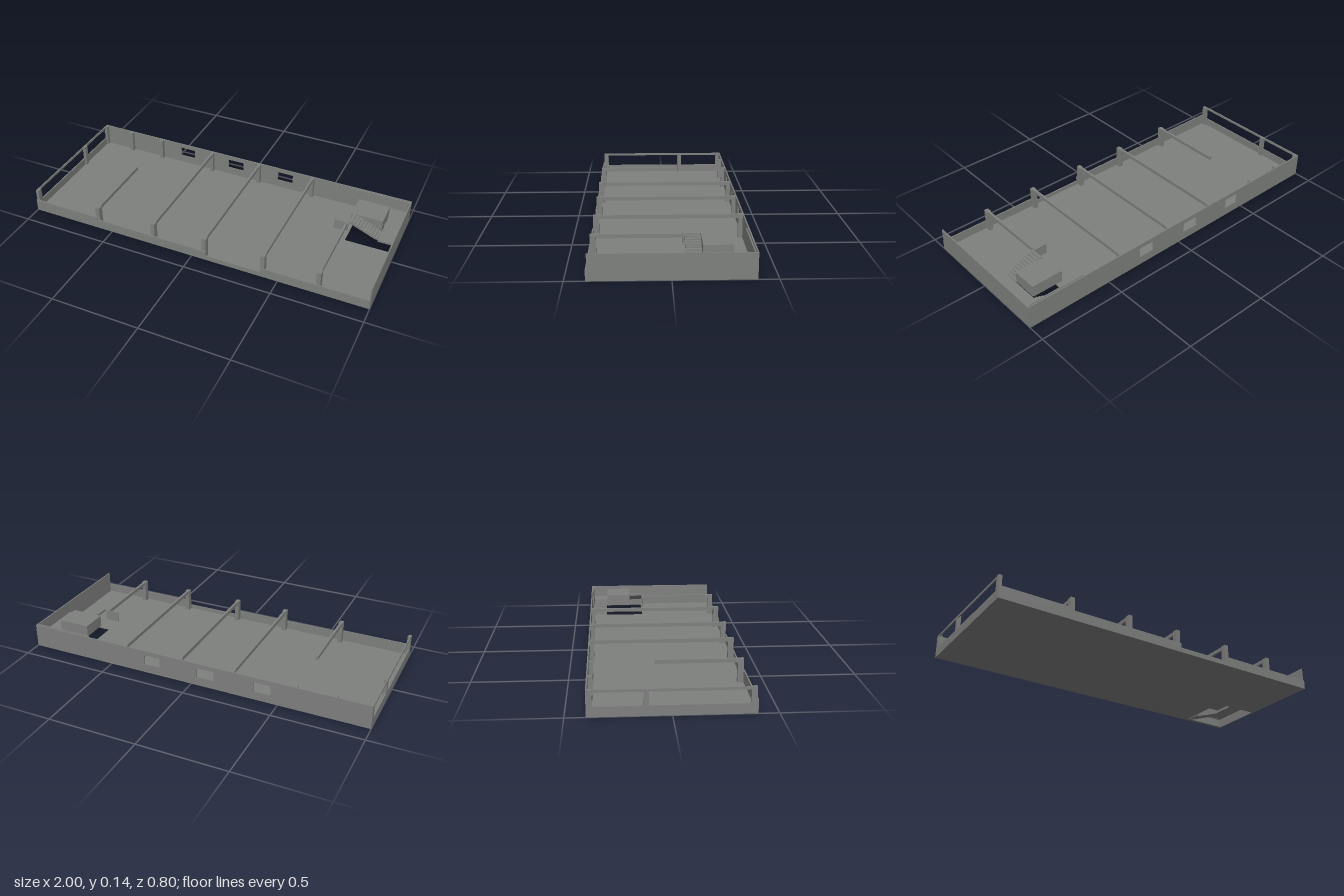
import * as THREE from 'three';

export function createModel() {
  const model = new THREE.Group();
  model.name = 'storey';
  const grey = new THREE.MeshStandardMaterial({ color: 0x7e807e, side: THREE.DoubleSide });
  grey.name = 'concreteGrey';

  const add = (name, geometry) => {
    const mesh = new THREE.Mesh(geometry, grey);
    mesh.name = name;
    model.add(mesh);
    return mesh;
  };
  // Box given by its limits on each axis
  const block = (name, x0, x1, y0, y1, z0, z1) => {
    const mesh = add(name, new THREE.BoxGeometry(x1 - x0, y1 - y0, z1 - z0));
    mesh.position.set((x0 + x1) / 2, (y0 + y1) / 2, (z0 + z1) / 2);
    return mesh;
  };
  // Outline in x,y pulled along z
  const plate = (name, points, z0, z1, holes = []) => {
    const shape = new THREE.Shape(points.map(p => new THREE.Vector2(...p)));
    for (const [x0, x1, y0, y1] of holes) {
      shape.holes.push(new THREE.Path([[x0, y0], [x0, y1], [x1, y1], [x1, y0]].map(p => new THREE.Vector2(...p))));
    }
    const geo = new THREE.ExtrudeGeometry(shape, { depth: z1 - z0, bevelEnabled: false });
    geo.translate(0, 0, z0);
    return add(name, geo);
  };
  const rect = (x0, x1, y0, y1) => [[x0, y0], [x1, y0], [x1, y1], [x0, y1]];

  const H = 0.133, T = 0.007, FLOOR = 0.006;
  const bays = [-0.59, -0.24, 0.07, 0.41, 0.72];

  // Floor with stairwell opening
  const floor = plate('floor', rect(-1, 1, -0.4, 0.4), 0, FLOOR, [[0.72, 0.993, 0.068, 0.38]]);
  floor.geometry.rotateX(-Math.PI / 2);

  // Outer walls
  plate('backWall', rect(-1, 1, 0, H), -0.4, -0.4 + T,
    [[-0.46, -0.365, 0.05, 0.107], [-0.135, -0.035, 0.05, 0.107], [0.19, 0.285, 0.05, 0.107]]);
  block('rightEndWall', 1 - T, 1, 0, H, -0.393, 0.393);
  plate('frontParapet', [[-1, 0], [1, 0], [1, 0.055], [0.4, 0.055], [0.4, 0.028], [0.085, 0.028],
    [0.085, 0.055], [-0.59, 0.055], [-0.59, 0.07], [-1, 0.07]], 0.393, 0.4);

  // Open end: sill, rail and posts
  block('endSill', -1, -1 + T, 0, 0.052, -0.393, 0.393);
  block('endRail', -1, -1 + T, 0.12, H, -0.393, 0.393);
  for (const [z0, z1] of [[-0.393, -0.37], [-0.133, -0.108], [0.365, 0.393]]) {
    block('endPost', -1, -0.982, FLOOR, H, z0, z1);
  }

  // Columns and cross beams
  for (const x of bays) {
    block('frontColumn', x - 0.012, x + 0.012, FLOOR, H, 0.362, 0.393);
    const end = x === -0.59 ? -0.06 : x === 0.72 ? -0.068 : -0.393;
    block('beam', x - 0.007, x + 0.007, 0.113, H, end, 0.362);
  }
  for (const x of [-0.805, ...bays.slice(0, 4)]) {
    block('backColumn', x - 0.011, x + 0.011, FLOOR, H, -0.393, -0.37);
  }

  // Two stair flights with a shared half landing
  const flight = (name, fromX, toX, y0, y1, z0, z1) => {
    const n = 10, dx = (toX - fromX) / n, dy = (y1 - y0) / n;
    const pts = [[fromX, y0]];
    for (let i = 0; i < n; i++) {
      pts.push([fromX + i * dx, y0 + (i + 1) * dy], [fromX + (i + 1) * dx, y0 + (i + 1) * dy]);
    }
    pts.push([toX, y1 - 0.014], [fromX + dx, y0]);
    plate(name, pts, z0, z1);
  };
  flight('lowerFlight', 0.73, 0.9, 0, 0.066, -0.38, -0.3);
  flight('upperFlight', 0.9, 0.735, 0.066, 0.142, -0.148, -0.07);
  block('halfLanding', 0.9, 0.993, 0.054, 0.066, -0.38, -0.07);
  block('stairCore', 0.72, 0.9, 0.07, 0.136, -0.295, -0.15);

  // Panels edging the stairwell
  block('stairPanel', 0.65, 0.73, 0.075, H, -0.07, -0.064);
  block('backStairPanel', 0.65, 0.993, 0.052, H, -0.388, -0.381);

  return model;
}
